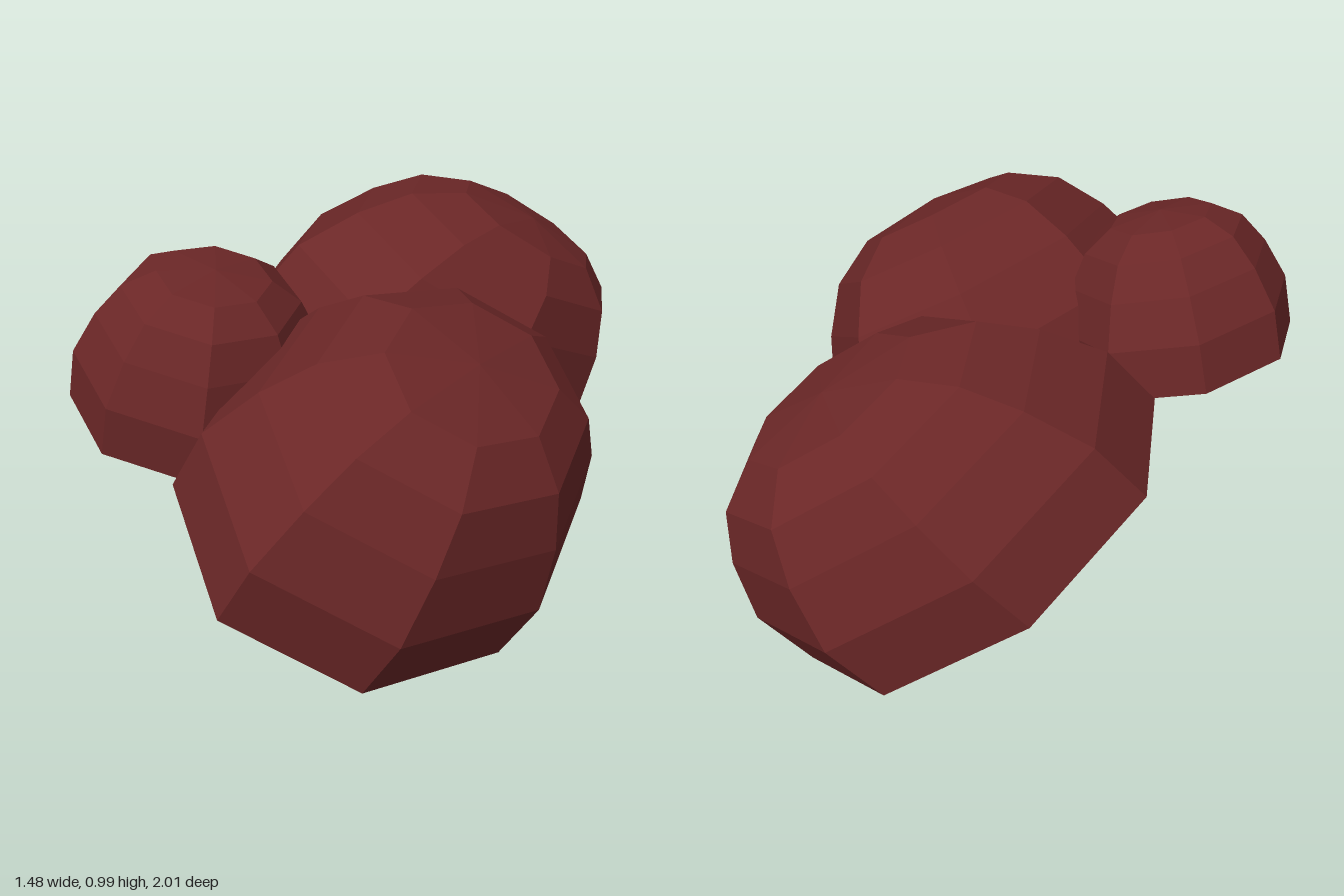
import * as THREE from 'three';

// Unit dome profile: [radius, height] from open rim to crown
const PROFILE = [[1, 0], [1, 0.335], [0.86, 0.62], [0.69, 0.83], [0.44, 0.957], [0, 1]];

// Each cap: rim centre, two rim half-axes (side, front) and the vector from rim to crown
const CAPS = [
  { name: 'largeCap', center: [0.14, 0.28, 0.38], side: [0.44, -0.28, 0], crown: [0.358, 0.565, 0], front: [0, 0, 0.62] },
  { name: 'rearCap', center: [-0.288, 0.366, -0.385], side: [-0.38, 0.075, -0.31], crown: [0.31, 0.47, -0.275], front: [0.26, -0.305, -0.435] },
  { name: 'smallCap', center: [-0.365, 0.535, 0.515], side: [0.33, -0.09, 0], crown: [0.115, 0.437, 0.01], front: [0, 0, 0.365] },
];

const vec = (a) => new THREE.Vector3(...a);

// Eight-sided open dome, stretched and tilted onto the given axes
function makeCap({ name, center, side, crown, front }, material) {
  const points = PROFILE.map(([r, y]) => new THREE.Vector2(r, y));
  const matrix = new THREE.Matrix4()
    .makeBasis(vec(side), vec(crown), vec(front))
    .setPosition(vec(center));
  const geometry = new THREE.LatheGeometry(points, 8).toNonIndexed();
  geometry.applyMatrix4(matrix);
  geometry.computeVertexNormals();
  const mesh = new THREE.Mesh(geometry, material);
  mesh.name = name;
  return mesh;
}

export function createModel() {
  const group = new THREE.Group();
  group.name = 'capCluster';
  const material = new THREE.MeshStandardMaterial({ color: 0x6b2727, flatShading: true, side: THREE.DoubleSide });
  material.name = 'darkRed';
  for (const cap of CAPS) group.add(makeCap(cap, material));
  return group;
}
